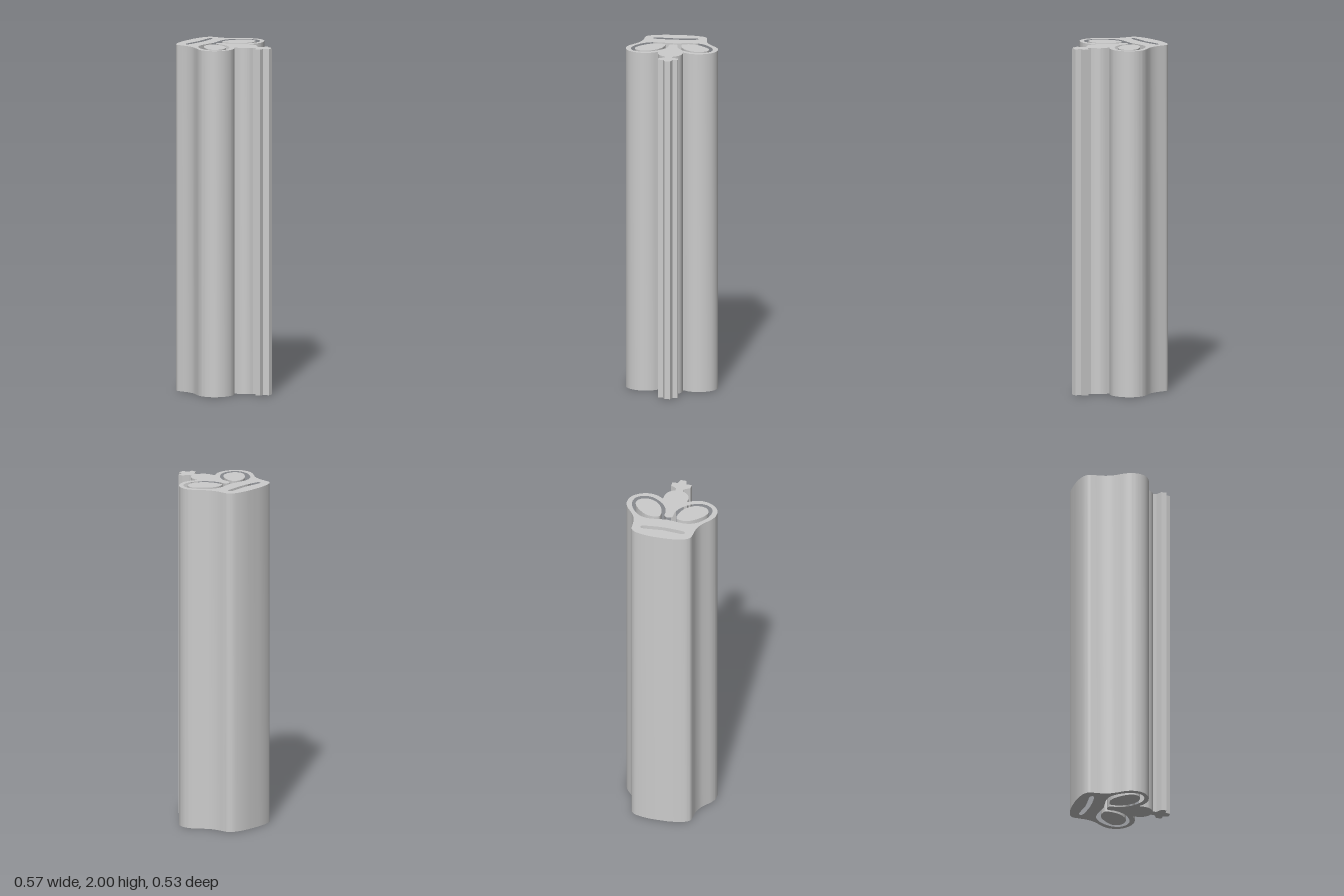
import * as THREE from 'three';
import { toCreasedNormals } from 'three/addons/utils/BufferGeometryUtils.js';

const HEIGHT = 2;

// Smooth run through the given [x, z] points
function curve(points, samples = 36, closed = false) {
  const v = points.map(([x, z]) => new THREE.Vector3(x, z, 0));
  return new THREE.CatmullRomCurve3(v, closed, 'centripetal')
    .getPoints(samples).map(p => new THREE.Vector2(p.x, p.y));
}
const line = points => points.map(([x, z]) => new THREE.Vector2(x, z));

// Joins runs into one half outline, drops repeated joints and mirrors it in z
function mirrored(...runs) {
  const half = runs.flat().filter((p, i, a) => !i || p.distanceTo(a[i - 1]) > 1e-5);
  const other = half.filter(p => p.y > 1e-5).reverse().map(p => new THREE.Vector2(p.x, -p.y));
  return [...half, ...other];
}

function prism(name, shape, height = HEIGHT, y = 0, color = 0xcccccc) {
  const geo = new THREE.ExtrudeGeometry(shape, { depth: height, bevelEnabled: false });
  geo.rotateX(-Math.PI / 2);
  const mesh = new THREE.Mesh(toCreasedNormals(geo, 0.6), new THREE.MeshStandardMaterial({ color }));
  mesh.name = name;
  mesh.position.y = y;
  return mesh;
}

export function createModel() {
  const group = new THREE.Group();
  group.name = 'extrudedProfile';

  // Outer wall: flat back, round lobe, neck and stepped rail
  const outline = mirrored(
    curve([[-0.285, 0], [-0.283, 0.062], [-0.274, 0.115], [-0.26, 0.154], [-0.24, 0.174],
      [-0.213, 0.178], [-0.16, 0.183], [-0.115, 0.197], [-0.08, 0.22], [-0.044, 0.247],
      [-0.013, 0.261], [0.015, 0.264], [0.046, 0.259], [0.078, 0.24], [0.103, 0.206],
      [0.115, 0.169], [0.116, 0.142], [0.106, 0.104], [0.085, 0.071]], 72),
    curve([[0.085, 0.071], [0.117, 0.07], [0.144, 0.063], [0.167, 0.044], [0.18, 0.022]], 16),
    line([[0.2, 0.022], [0.221, 0.057], [0.252, 0.057], [0.252, 0.027], [0.284, 0.016]]));

  // Channel looping round both lobes and the central tongue
  const channel = mirrored(
    line([[-0.105, 0]]),
    curve([[-0.118, 0.097], [-0.115, 0.129], [-0.101, 0.163], [-0.07, 0.197], [-0.026, 0.224],
      [0.017, 0.234], [0.054, 0.226], [0.078, 0.201], [0.088, 0.169], [0.085, 0.133],
      [0.067, 0.097], [0.04, 0.063], [0.001, 0.037], [-0.035, 0.026], [-0.07, 0.024],
      [-0.081, 0.015], [-0.085, 0]], 64));

  // Narrow slot near the flat back
  const slot = mirrored(
    line([[-0.21, 0]]),
    curve([[-0.22, 0.106], [-0.217, 0.124], [-0.207, 0.131], [-0.196, 0.124],
      [-0.188, 0.079], [-0.184, 0.035], [-0.183, 0]], 24));

  const bodyShape = new THREE.Shape(outline);
  bodyShape.holes.push(new THREE.Path(channel), new THREE.Path(slot));
  group.add(prism('body', bodyShape));

  // Dark web closing the slot halfway up
  group.add(prism('slotWeb', new THREE.Shape(slot), 0.01, HEIGHT / 2, 0x222222));

  // Egg-shaped cores standing inside the channel
  const core = [[-0.094, 0.088], [-0.09, 0.115], [-0.078, 0.142], [-0.053, 0.172], [-0.022, 0.199],
    [0.01, 0.213], [0.04, 0.206], [0.058, 0.187], [0.065, 0.156], [0.06, 0.124], [0.04, 0.092],
    [0.01, 0.067], [-0.029, 0.051], [-0.067, 0.046], [-0.083, 0.051], [-0.09, 0.067]];
  for (const [name, s] of [['backCore', 1], ['frontCore', -1]]) {
    const points = curve(core.map(([x, z]) => [x, z * s]), 64, true);
    points.pop();
    group.add(prism(name, new THREE.Shape(points)));
  }
  return group;
}
